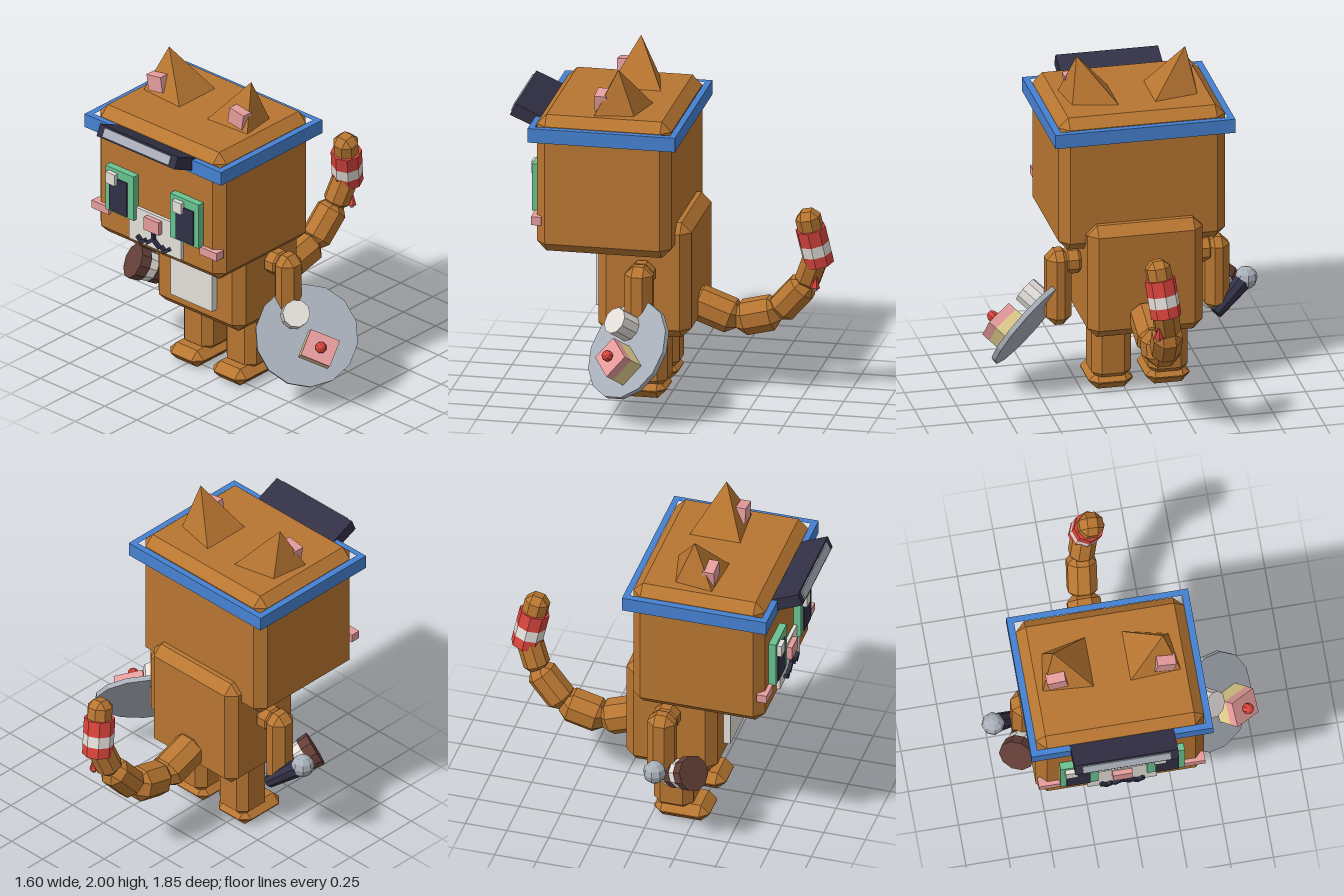
import * as THREE from 'three';
import { ConvexGeometry } from 'three/addons/geometries/ConvexGeometry.js';

const V = (x, y, z) => new THREE.Vector3(x, y, z);
const UP = V(0, 1, 0);
const CX = -0.09; // mirror plane of the body

const mat = (name, color) => {
  const m = new THREE.MeshStandardMaterial({ color });
  m.name = name;
  return m;
};

// Box with every edge cut at 45 degrees
function chamferBox(w, h, d, b) {
  const pts = [];
  for (const i of [-1, 1]) for (const j of [-1, 1]) for (const k of [-1, 1]) {
    const x = i * w / 2, y = j * h / 2, z = k * d / 2;
    pts.push(V(x, y - j * b, z - k * b), V(x - i * b, y, z - k * b), V(x - i * b, y - j * b, z));
  }
  return new ConvexGeometry(pts);
}

export function createModel() {
  const fur = mat('orange fur', 0xb87631);
  const cream = mat('off white', 0xe4dfda);
  const blue = mat('blue', 0x4681d2);
  const dark = mat('dark navy', 0x323045);
  const pink = mat('pink', 0xe69c9c);
  const green = mat('green', 0x69c391);
  const grey = mat('grey', 0xaab0ba);
  const red = mat('red', 0xd8443c);
  const yellow = mat('sponge yellow', 0xe2cf8c);
  const brown = mat('dark brown', 0x633f38);

  const model = new THREE.Group();
  const add = (name, geo, m, parent = model) => {
    const mesh = new THREE.Mesh(geo, m);
    mesh.name = name;
    parent.add(mesh);
    return mesh;
  };
  // Boxes given by their limits
  const mid = (mesh, x0, x1, y0, y1, z0, z1) => {
    mesh.position.set((x0 + x1) / 2, (y0 + y1) / 2, (z0 + z1) / 2);
    return mesh;
  };
  const box = (name, m, x0, x1, y0, y1, z0, z1) =>
    mid(add(name, new THREE.BoxGeometry(x1 - x0, y1 - y0, z1 - z0), m), x0, x1, y0, y1, z0, z1);
  const cut = (name, m, b, x0, x1, y0, y1, z0, z1) =>
    mid(add(name, chamferBox(x1 - x0, y1 - y0, z1 - z0, b), m), x0, x1, y0, y1, z0, z1);
  // Geometry built along y, laid from a to b
  const along = (mesh, a, b) => {
    mesh.position.copy(a).lerp(b, 0.5);
    mesh.quaternion.setFromUnitVectors(UP, b.clone().sub(a).normalize());
    return mesh;
  };
  const flat = (geo) => {
    const g = geo.toNonIndexed();
    g.computeVertexNormals();
    return g;
  };
  const rod = (name, m, a, b, r0, r1, n) =>
    along(add(name, flat(new THREE.CylinderGeometry(r1, r0, a.distanceTo(b), n)), m), a, b);

  // Head and body
  cut('head', fur, 0.057, -0.58, 0.4, 0.915, 1.74, -0.06, 0.73);
  cut('body', fur, 0.057, -0.43, 0.25, 0.39, 1.085, -0.145, 0.4);
  box('bellyPatch', cream, -0.25, 0.075, 0.51, 0.95, 0.38, 0.44);

  // Parts on both sides
  for (const s of [-1, 1]) {
    const X = (x) => CX + s * x;
    const pair = (a, b) => [Math.min(X(a), X(b)), Math.max(X(a), X(b))];
    cut('leg', fur, 0.05, ...pair(0.05, 0.283), 0.06, 0.5, 0.005, 0.24);
    cut('foot', fur, 0.05, ...pair(0.038, 0.297), 0, 0.106, 0.01, 0.34);
    cut('shoulder', fur, 0.045, ...pair(0.31, 0.46), 0.72, 0.865, 0.05, 0.2);
    cut('arm', fur, 0.05, ...pair(0.393, 0.54), 0.41, 0.87, 0.04, 0.205);
    box('cheek', pink, ...pair(0.355, 0.485), 1.08, 1.13, 0.695, 0.755);

    // Eyes; the highlight sits on the same side of both
    box('eye', green, ...pair(0.142, 0.362), 1.125, 1.41, 0.71, 0.773);
    box('pupil', dark, ...pair(0.19, 0.327), 1.135, 1.355, 0.76, 0.78);
    const hx = X(0) + s * 0.2575 - 0.043;
    box('eyeHighlight', cream, hx - 0.035, hx + 0.035, 1.315, 1.388, 0.77, 0.8);

    // Ear leaning outward, with its inner patch
    add('ear', new ConvexGeometry([
      V(X(0.32), 2, 0.275), V(X(0.1), 1.73, 0.11), V(X(0.1), 1.73, 0.425),
      V(X(0.405), 1.73, 0.405), V(X(0.37), 1.73, 0.17)]), fur);
    const inner = add('innerEar', new THREE.BoxGeometry(0.11, 0.098, 0.07), pink);
    inner.position.set(X(0.315), 1.81, 0.37);
    inner.rotation.z = -s * 0.16;

    // Half of the mouth
    const pts = [[0, 1.05], [0.045, 1.015], [0.065, 1.022], [0.09, 1.003], [0.12, 1.027]];
    for (const i of [0, 2, 3]) {
      const a = V(X(pts[i][0]), pts[i][1], 0.758), b = V(X(pts[i + 1][0]), pts[i + 1][1], 0.758);
      along(add('mouth', new THREE.BoxGeometry(0.022, a.distanceTo(b) + 0.012, 0.025), dark), a, b);
    }
  }

  // Muzzle
  box('muzzle', cream, -0.29, 0.115, 0.985, 1.205, 0.7, 0.75);
  box('nose', pink, -0.147, -0.033, 1.103, 1.185, 0.74, 0.78);
  box('mouthStem', dark, -0.101, -0.079, 1.04, 1.105, 0.745, 0.77);

  // Headband ring and raised visor
  const rect = (P, x0, x1, z0, z1) => new P([[x0, z0], [x1, z0], [x1, z1], [x0, z1]]
    .map(([x, z]) => new THREE.Vector2(x, -z)));
  const ring = rect(THREE.Shape, -0.62, 0.44, -0.1, 0.765);
  ring.holes.push(rect(THREE.Path, -0.58, 0.4, -0.063, 0.728));
  const band = add('headband', new THREE.ExtrudeGeometry(ring, { depth: 0.085, bevelEnabled: false }), blue);
  band.rotation.x = -Math.PI / 2;
  band.position.y = 1.595;
  const visor = new THREE.Group();
  visor.name = 'visor';
  visor.position.set(-0.0875, 1.675, 0.813);
  visor.rotation.x = -0.41;
  model.add(visor);
  add('visorShell', new THREE.BoxGeometry(0.605, 0.075, 0.19), dark, visor);
  add('visorLens', new THREE.BoxGeometry(0.515, 0.055, 0.02), grey, visor).position.z = 0.093;

  // Tail of jointed segments, with striped rings near the tip
  const joints = [V(-0.09, 0.53, -0.09), V(-0.09, 0.43, -0.36), V(-0.09, 0.49, -0.6),
    V(-0.07, 0.68, -0.765), V(-0.035, 0.87, -0.835), V(0, 1.145, -0.78)];
  [0.195, 0.195, 0.17, 0.145, 0.14].forEach((w, i) => {
    const a = joints[i], b = joints[i + 1];
    const len = a.distanceTo(b) + (i < 4 ? 0.03 : 0);
    along(add('tailSegment', chamferBox(w, len, w, w * 0.29), fur), a, b);
  });
  const tailAt = (t) => joints[4].clone().lerp(joints[5], t);
  [[-0.2, 0.03, red], [0.03, 0.27, cream], [0.27, 0.6, red]].forEach(([t0, t1, m]) =>
    rod('tailRing', m, tailAt(t0), tailAt(t1), 0.09, 0.09, 8));
  rod('tailCharm', red, V(0, 0.68, -0.83), V(0, 0.745, -0.84), 0.03, 0.004, 6);
  const bead = add('tailBead', flat(new THREE.SphereGeometry(0.016, 6, 4)), cream);
  bead.position.set(0, 0.672, -0.835);

  // Tilted tray with a cup and a slice of cake
  const n = V(0.636, 0.546, 0.546).normalize();
  const e = V(0.787, -0.34, -0.514).addScaledVector(n, -n.dot(V(0.787, -0.34, -0.514))).normalize();
  const tray = new THREE.Group();
  tray.name = 'tray';
  tray.quaternion.setFromRotationMatrix(new THREE.Matrix4().makeBasis(e, n, e.clone().cross(n)));
  tray.position.set(0.545, 0.41, 0.15);
  model.add(tray);
  const put = (name, geo, m, x, y, z) => add(name, geo, m, tray).position.set(x, y, z);
  put('plate', flat(new THREE.CylinderGeometry(0.298, 0.298, 0.03, 14)), grey, 0, 0, 0);
  put('cup', flat(new THREE.CylinderGeometry(0.08, 0.08, 0.13, 10)), cream, -0.11, 0.075, -0.08);
  put('cakeBase', new THREE.BoxGeometry(0.18, 0.095, 0.16), yellow, 0.09, 0.055, 0.054);
  put('cakeIcing', new THREE.BoxGeometry(0.18, 0.055, 0.16), pink, 0.09, 0.13, 0.054);
  put('cherry', flat(new THREE.SphereGeometry(0.034, 8, 6)), red, 0.09, 0.18, 0.054);

  // Microphone in the other hand
  rod('microphoneHandle', dark, V(-0.54, 0.41, 0.05), V(-0.71, 0.56, 0.12), 0.038, 0.055, 8);
  const ball = add('microphoneHead', flat(new THREE.SphereGeometry(0.068, 8, 6)), grey);
  ball.position.set(-0.735, 0.58, 0.13);

  // Layered drink held beside it, facing forward
  const top = V(-0.635, 0.545, 0.335), base = V(-0.535, 0.44, 0.16);
  const at = (t) => top.clone().lerp(base, t);
  [[0, 0.3, 0.105, brown], [0.3, 0.55, 0.092, cream], [0.55, 0.8, 0.09, brown], [0.8, 1, 0.078, cream]]
    .forEach(([t0, t1, r, m]) => rod('drinkLayer', m, at(t1), at(t0), r * 0.95, r, 10));

  return model;
}
